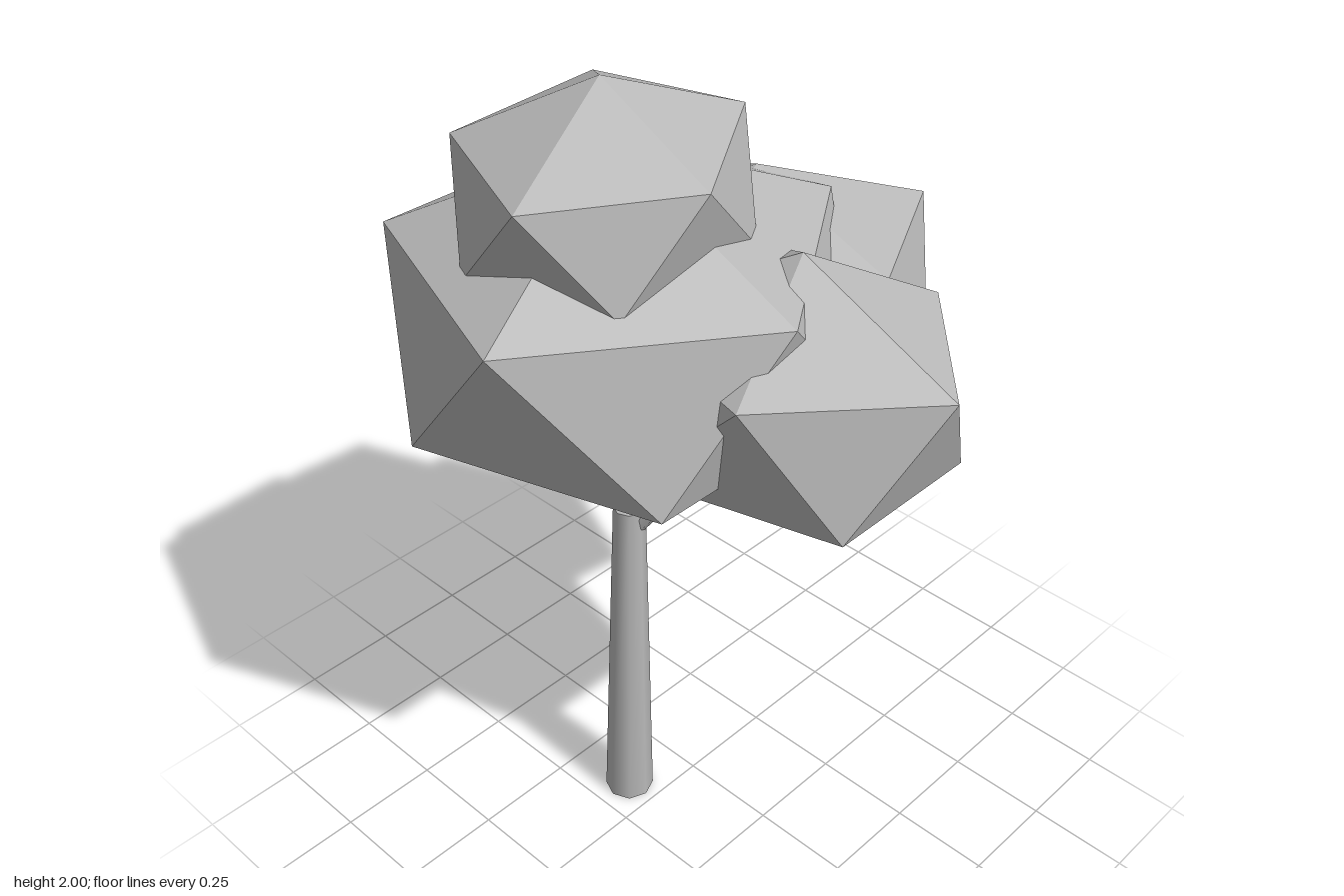
import * as THREE from 'three';

const grey = new THREE.MeshStandardMaterial({ color: 0xb8b8b8 });
grey.name = 'plain grey';

// Twenty-sided clump: two poles and two staggered rings of five points
function clumpGeometry() {
  const ring = (y, offset) => Array.from({ length: 5 }, (_, k) => {
    const a = (k * 72 + offset) * Math.PI / 180;
    return [Math.cos(a), y, Math.sin(a)];
  });
  const top = [0, 1, 0], bottom = [0, -1, 0];
  const up = ring(0.447, 0), low = ring(-0.447, 36);
  const positions = [];
  for (let k = 0; k < 5; k++) {
    const n = (k + 1) % 5;
    positions.push(
      ...top, ...up[n], ...up[k],
      ...up[k], ...up[n], ...low[k],
      ...low[k], ...up[n], ...low[n],
      ...bottom, ...low[k], ...low[n]);
  }
  const geometry = new THREE.BufferGeometry();
  geometry.setAttribute('position', new THREE.Float32BufferAttribute(positions, 3));
  return geometry;
}

// Clump stretched along its own three axes: side, pole and front
function clump(name, centre, side, pole, front) {
  const v = (p) => new THREE.Vector3(...p);
  const matrix = new THREE.Matrix4().makeBasis(v(side), v(pole), v(front)).setPosition(v(centre));
  const geometry = clumpGeometry().applyMatrix4(matrix);
  geometry.computeVertexNormals();
  const mesh = new THREE.Mesh(geometry, grey);
  mesh.name = name;
  return mesh;
}

// Tapered limb between two points
function limb(name, from, to, r0, r1, sides) {
  const a = new THREE.Vector3(...from), b = new THREE.Vector3(...to);
  const dir = b.clone().sub(a);
  const mesh = new THREE.Mesh(new THREE.CylinderGeometry(r1, r0, dir.length(), sides), grey);
  mesh.position.copy(a).add(b).multiplyScalar(0.5);
  mesh.quaternion.setFromUnitVectors(new THREE.Vector3(0, 1, 0), dir.normalize());
  mesh.name = name;
  return mesh;
}

// Trunk leaning slightly, with level ends
function trunk() {
  const geometry = new THREE.CylinderGeometry(0.038, 0.061, 0.925, 8);
  const shear = new THREE.Matrix4().set(
    1, 0.022, 0, -0.073,
    0, 1, 0, 0.4625,
    0, -0.009, 1, 0.151,
    0, 0, 0, 1);
  const mesh = new THREE.Mesh(geometry.applyMatrix4(shear), grey);
  mesh.name = 'trunk';
  return mesh;
}

export function createModel() {
  const tree = new THREE.Group();
  tree.name = 'tree';
  tree.add(trunk());

  // Branches
  tree.add(
    limb('rightBranch', [-0.065, 0.88, 0.14], [-0.3, 1.2, 0.03], 0.021, 0.016, 6),
    limb('leftBranch', [-0.05, 0.87, 0.14], [0.22, 1.25, 0.04], 0.021, 0.016, 6),
    limb('backBranch', [-0.06, 0.87, 0.135], [-0.045, 1.25, -0.13], 0.021, 0.016, 6));

  // Foliage
  tree.add(
    clump('topFoliage', [-0.06, 1.75, 0.19], [0.3, -0.007, 0.01], [0.005, 0.25, 0.01], [0, -0.01, 0.331]),
    clump('frontFoliage', [-0.075, 1.43, 0.125], [0.485, -0.015, 0], [0, 0.41, 0.03], [0, 0.005, 0.525]),
    clump('backFoliage', [-0.055, 1.36, -0.23], [0.364, 0.005, -0.035], [0, 0.29, -0.03], [-0.064, -0.01, 0.415]),
    clump('leftFoliage', [0.255, 1.328, -0.02], [0.42, 0.005, 0], [0.03, 0.33, 0], [0, 0, 0.334]),
    clump('rightFoliage', [-0.382, 1.268, -0.08], [0.32, -0.005, 0], [-0.015, 0.333, 0], [-0.03, 0, 0.384]));

  return tree;
}
